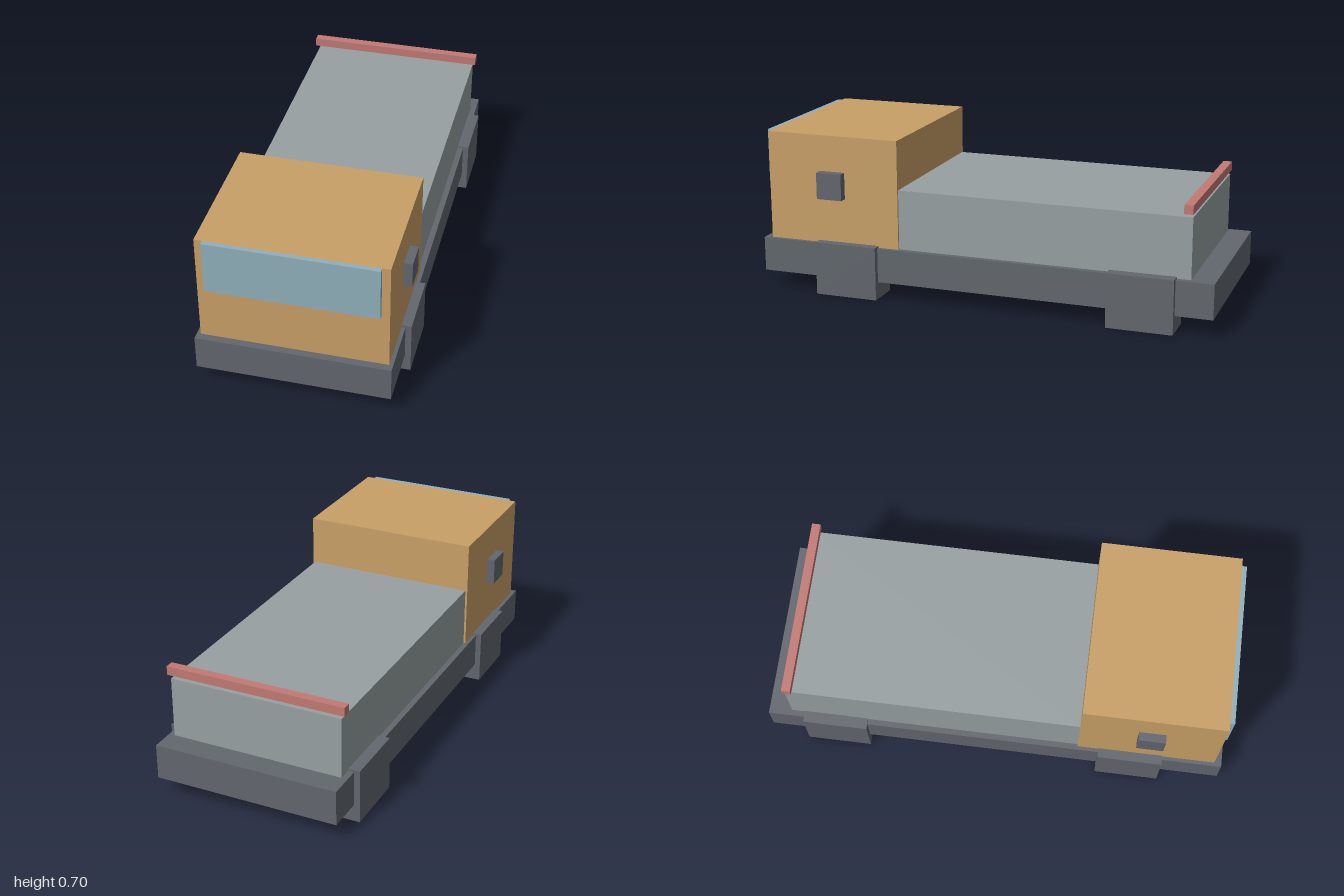
import * as THREE from 'three';

const material = (name, color) => {
  const m = new THREE.MeshStandardMaterial({ color });
  m.name = name;
  return m;
};

export function createModel() {
  const truck = new THREE.Group();
  truck.name = 'flatbedTruck';

  const darkGrey = material('darkGrey', 0x62676e);
  const ochre = material('ochre', 0xc9a067);
  const glassBlue = material('glassBlue', 0x90b0bc);
  const bedGrey = material('bedGrey', 0x98a0a2);
  const red = material('red', 0xc27a74);

  // Adds a box given its extent along each axis
  const box = (name, mat, [x0, x1], [y0, y1], [z0, z1]) => {
    const mesh = new THREE.Mesh(new THREE.BoxGeometry(x1 - x0, y1 - y0, z1 - z0), mat);
    mesh.position.set((x0 + x1) / 2, (y0 + y1) / 2, (z0 + z1) / 2);
    mesh.name = name;
    truck.add(mesh);
  };

  // Body
  box('chassis', darkGrey, [-0.4, 0.4], [0.075, 0.225], [-1, 1]);
  box('cab', ochre, [-0.384, 0.384], [0.225, 0.7], [0.368, 0.968]);
  box('windscreen', glassBlue, [-0.35, 0.35], [0.469, 0.7], [0.968, 0.988]);
  box('cargoBed', bedGrey, [-0.375, 0.375], [0.225, 0.485], [-0.9, 0.368]);
  box('rearBar', red, [-0.39, 0.39], [0.5, 0.538], [-0.903, -0.865]);

  // Square wheels and side mirrors, mirrored left and right
  for (const [side, s] of [['left', 1], ['right', -1]]) {
    const span = (a, b) => (s > 0 ? [a, b] : [-b, -a]);
    box(side + 'FrontWheel', darkGrey, span(0.275, 0.425), [0, 0.233], [0.46, 0.74]);
    box(side + 'RearWheel', darkGrey, span(0.275, 0.425), [0, 0.233], [-0.842, -0.56]);
    box(side + 'Mirror', darkGrey, span(0.384, 0.42), [0.427, 0.543], [0.613, 0.728]);
  }

  return truck;
}
